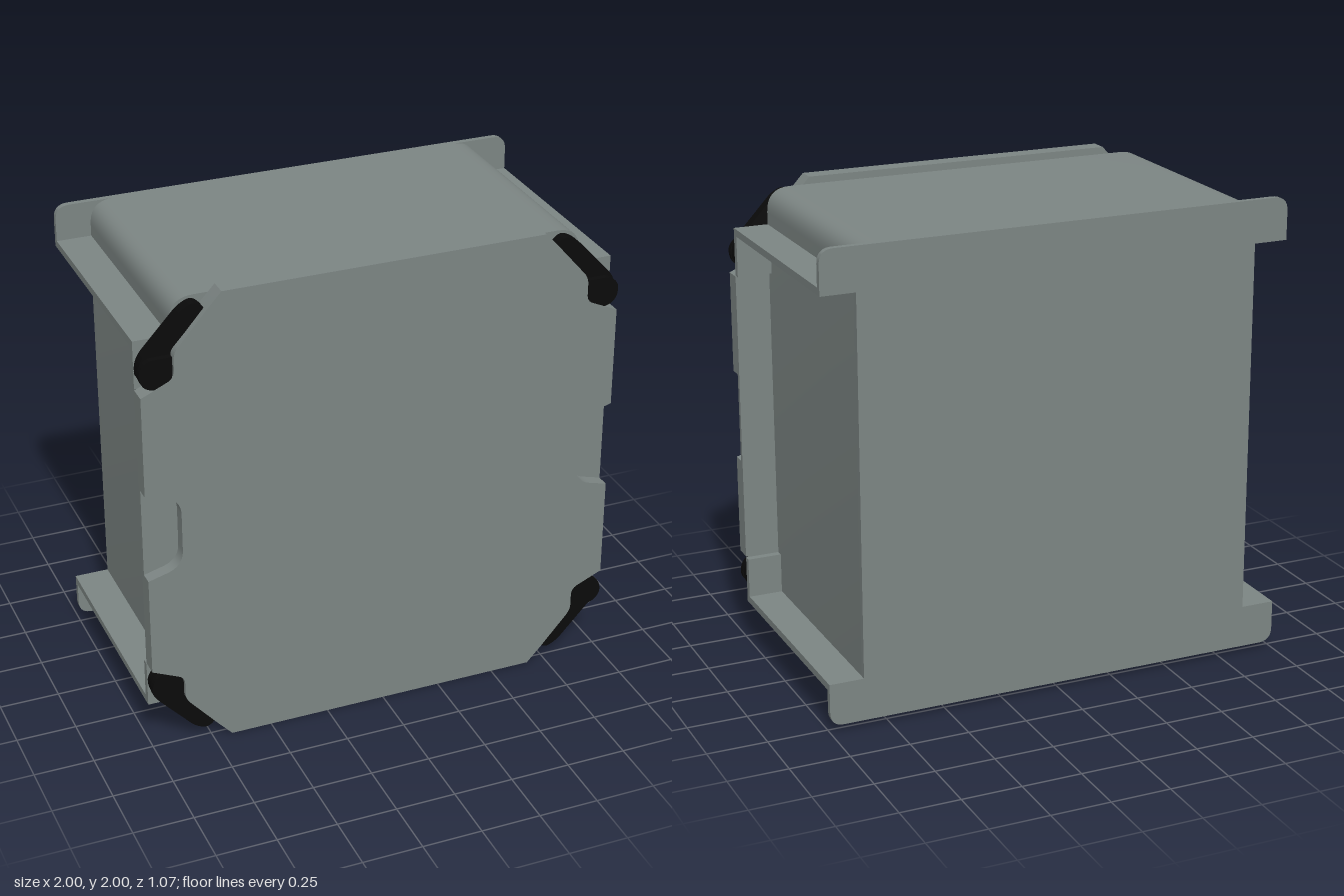
import * as THREE from 'three';
import { toCreasedNormals } from 'three/addons/utils/BufferGeometryUtils.js';

const BACK = -0.535, FRONT = 0.535, SEAT = 0.46;   // back wall, lid face, lid seat
const grey = new THREE.MeshStandardMaterial({ color: 0x7c8583 });
const black = new THREE.MeshStandardMaterial({ color: 0x0a0a0a });

// polygon with each corner [x, y, radius] rounded by a quadratic curve
function roundedShape(points) {
  const shape = new THREE.Shape();
  const n = points.length;
  points.forEach(([x, y, r = 0], i) => {
    const toward = ([px, py]) => {
      const d = Math.hypot(px - x, py - y);
      return [x + (px - x) * r / d, y + (py - y) * r / d];
    };
    const a = toward(points[(i + n - 1) % n]);
    const b = toward(points[(i + 1) % n]);
    if (i === 0) shape.moveTo(...a); else shape.lineTo(...a);
    if (r > 0) shape.quadraticCurveTo(x, y, ...b);
  });
  shape.closePath();
  return shape;
}

// full outline from its upper +x quarter, running from the top edge to the side
function mirrorQuarter(q) {
  const map = (pts, sx, sy) => pts.map(([x, y, r]) => [sx * x, 1 + sy * (y - 1), r]);
  const rev = [...q].reverse();
  return [...map(q, 1, 1), ...map(rev, 1, -1), ...map(q, -1, -1), ...map(rev, -1, 1)];
}

function slab(name, points, z0, z1, material = grey) {
  const geo = new THREE.ExtrudeGeometry(roundedShape(points), {
    depth: z1 - z0, bevelEnabled: false, curveSegments: 10,
  });
  geo.translate(0, 0, z0);
  const mesh = new THREE.Mesh(toCreasedNormals(geo, 0.5), material);
  mesh.name = name;
  return mesh;
}

function box(name, x0, x1, y0, y1, z0, z1) {
  const mesh = new THREE.Mesh(
    new THREE.BoxGeometry(Math.abs(x1 - x0), Math.abs(y1 - y0), z1 - z0), grey);
  mesh.position.set((x0 + x1) / 2, (y0 + y1) / 2, (z0 + z1) / 2);
  mesh.name = name;
  return mesh;
}

export function createModel() {
  const model = new THREE.Group();
  model.name = 'enclosure';

  // deep box with rounded long edges
  model.add(slab('body', mirrorQuarter([[0.855, 1.97, 0.1]]), -0.51, SEAT));

  // back panel with an ear at each corner
  model.add(slab('backPanel', mirrorQuarter([
    [1, 1.97, 0.06], [1, 1.79], [0.855, 1.79],
  ]), BACK, -0.51));

  // lid: cut corners for the fasteners, thumb notches in the front layer
  const lid = new THREE.Group();
  lid.name = 'lid';
  const corner = [
    [0.67, 2], [0.73, 1.935], [0.865, 1.78, 0.03],
    [0.865, 1.675, 0.03], [1, 1.615],
  ];
  const notch = [[1, 1.19], [0.855, 1.15, 0.07]];
  lid.add(slab('lidBase', mirrorQuarter(corner), SEAT, 0.48));
  lid.add(slab('lidFace', mirrorQuarter([...corner, ...notch]), 0.48, FRONT));
  model.add(lid);

  // fastener outlines for the upper +x corner
  const strap = [
    [0.73, 1.93], [0.765, 1.965, 0.03], [0.82, 1.94, 0.03], [1.005, 1.74, 0.06],
    [0.99, 1.64, 0.06], [0.92, 1.635, 0.04], [0.868, 1.67, 0.03], [0.868, 1.78, 0.02],
  ];
  const knob = [
    [0.87, 1.765], [0.965, 1.765, 0.02], [1.005, 1.73, 0.03],
    [0.995, 1.64, 0.06], [0.92, 1.64, 0.03], [0.87, 1.67, 0.03],
  ];

  for (const sx of [1, -1]) {
    for (const sy of [1, -1]) {
      const Y = (y) => 1 + sy * (y - 1);
      const place = (pts) => pts.map(([x, y, r]) => [sx * x, Y(y), r]);

      // side flange running the depth of the box, with a pad behind the fastener
      model.add(box('sideFlange', sx * 0.85, sx, Y(1.79), Y(1.82), -0.51, SEAT));
      model.add(box('cornerPad', sx * 0.85, sx, Y(1.62), Y(1.79), 0.43, SEAT));

      const fastener = new THREE.Group();
      fastener.name = 'lidFastener';
      fastener.add(slab('strap', place(strap), SEAT, 0.508, black));
      fastener.add(slab('knob', place(knob), 0.508, 0.533, black));
      model.add(fastener);
    }
  }
  return model;
}
